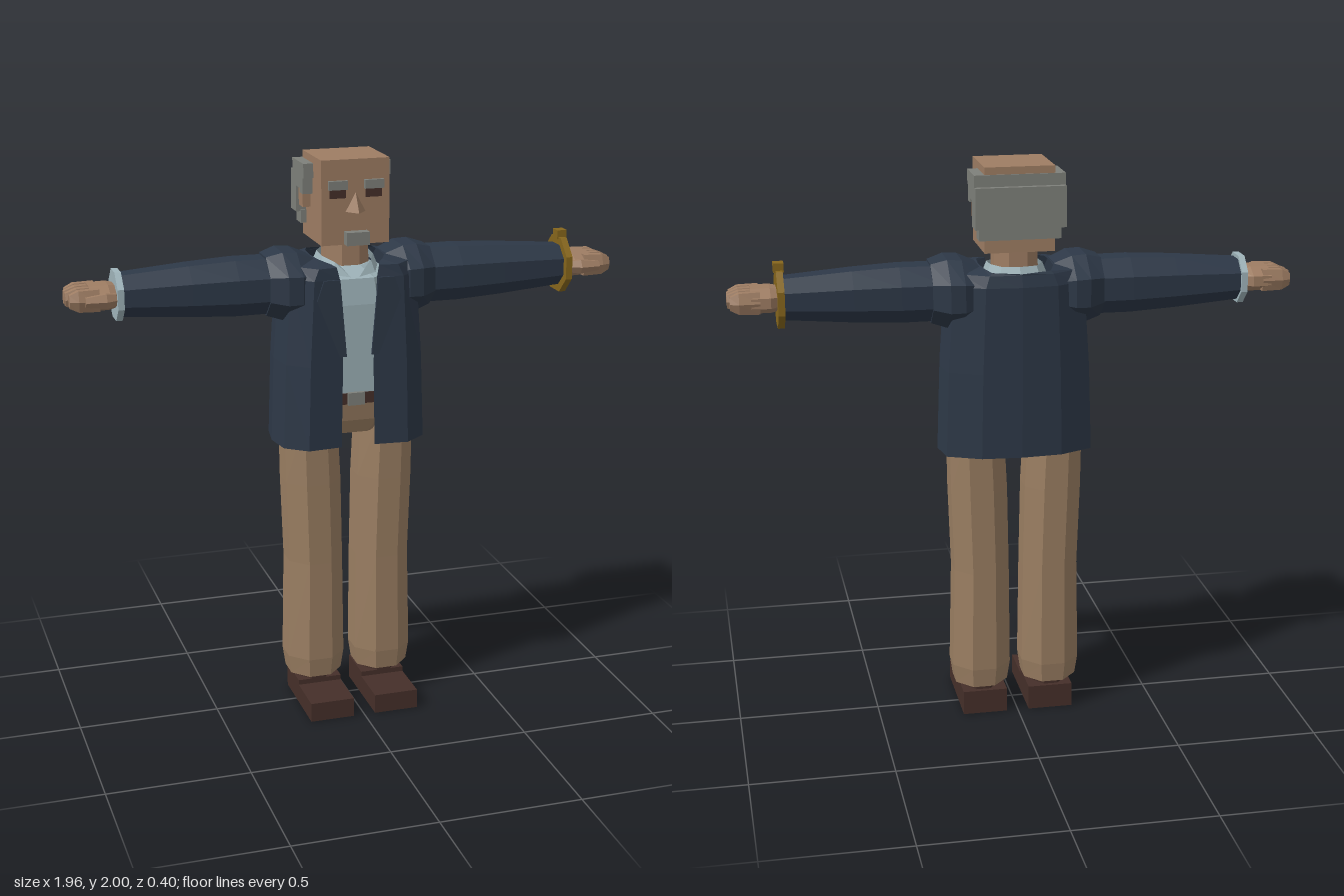
import * as THREE from 'three';

const mat = (name, color, extra = {}) => new THREE.MeshStandardMaterial({ name, color, ...extra });

// Faceted skin over a list of rings of [x, y, z] points
function loft(rings, closed = true) {
  const n = rings[0].length, pos = [];
  const tri = (...pts) => pts.forEach(p => pos.push(...p));
  for (let i = 0; i + 1 < rings.length; i++) {
    for (let j = 0; j < (closed ? n : n - 1); j++) {
      const k = (j + 1) % n;
      const a = rings[i][j], b = rings[i][k], c = rings[i + 1][k], d = rings[i + 1][j];
      tri(a, d, b);
      tri(b, d, c);
    }
  }
  if (closed) {
    const lo = rings[0], hi = rings[rings.length - 1];
    for (let j = 1; j + 1 < n; j++) {
      tri(lo[0], lo[j], lo[j + 1]);
      tri(hi[0], hi[j + 1], hi[j]);
    }
  }
  const g = new THREE.BufferGeometry();
  g.setAttribute('position', new THREE.Float32BufferAttribute(pos, 3));
  g.computeVertexNormals();
  return g;
}

// Flat-sided tube along y; rows are [y, half width x, half depth z, centre x, centre z]
function tube(rows, sides = 8) {
  const half = Math.PI / sides, fit = 1 / Math.cos(half);
  return loft(rows.map(([y, rx, rz, cx = 0, cz = 0]) => Array.from({ length: sides }, (_, j) => {
    const a = half * (2 * j + 1);
    return [cx + Math.cos(a) * rx * fit, y, cz + Math.sin(a) * rz * fit];
  })));
}

// Box from its lower and upper corners
function box(x0, x1, y0, y1, z0, z1) {
  return new THREE.BoxGeometry(x1 - x0, y1 - y0, z1 - z0)
    .translate((x0 + x1) / 2, (y0 + y1) / 2, (z0 + z1) / 2);
}

function plate(points, depth) {
  const shape = new THREE.Shape(points.map(p => new THREE.Vector2(...p)));
  return new THREE.ExtrudeGeometry(shape, { depth, bevelEnabled: false });
}

export function createModel() {
  const model = new THREE.Group();
  model.name = 'standingMan';
  const skin = mat('skin', 0x9e7d63);
  const trousers = mat('trousers', 0x9a7e62);
  const navy = mat('jacketNavy', 0x2d3847, { side: THREE.DoubleSide });
  const shirtBlue = mat('shirtBlue', 0x9fb4ba, { side: THREE.DoubleSide });
  const grey = mat('hairGrey', 0x7e807a);
  const brown = mat('leatherBrown', 0x452f29);
  const gold = mat('gold', 0x86661c);

  const add = (name, geometry, material, parent = model) => {
    const m = new THREE.Mesh(geometry, material);
    m.name = name;
    parent.add(m);
    return m;
  };
  // Mirrors a list of half-outline points across x
  const whole = half => [...half, ...half.slice(0, -1).reverse().map(([x, y, z]) => [-x, y, z])];

  // Head and neck
  add('skull', box(-0.12, 0.12, 1.71, 2, -0.145, 0.083), skin);
  add('neck', tube([[1.56, 0.078, 0.075, 0, -0.043], [1.72, 0.075, 0.072, 0, -0.043]]), skin);
  const nose = new THREE.ConeGeometry(0.5, 1, 4, 1).toNonIndexed();
  nose.scale(0.07, 0.065, 0.085).translate(0, 1.855, 0.083);
  // Pull the tip of the nose back to the face
  const np = nose.attributes.position;
  for (let i = 0; i < np.count; i++) if (np.getY(i) > 1.88) np.setZ(i, 0.085);
  nose.computeVertexNormals();
  add('nose', nose, skin);
  add('goatee', box(-0.04, 0.04, 1.712, 1.757, 0.08, 0.117), grey);

  // Hair at the back, wrapping the sides in steps
  add('backHair', box(-0.155, 0.155, 1.795, 1.935, -0.17, -0.13), grey);
  add('backHairTop', box(-0.145, 0.145, 1.92, 1.975, -0.15, -0.12), grey);
  add('backHairLow', box(-0.14, 0.14, 1.755, 1.81, -0.155, -0.12), grey);
  const sideOutline = [[0.012, 1.975], [0.15, 1.975], [0.15, 1.795], [0.105, 1.795],
    [0.105, 1.885], [0.062, 1.885], [0.062, 1.87], [0.022, 1.87], [0.022, 1.925], [0.012, 1.925]];
  for (const s of [1, -1]) {
    const side = add('sideHair', plate(sideOutline, 0.037), grey);
    side.rotation.y = Math.PI / 2;
    side.position.x = s > 0 ? 0.118 : -0.155;
    const b = (name, x0, x1, y0, y1, z0, z1, m) =>
      add(name, box(s > 0 ? x0 : -x1, s > 0 ? x1 : -x0, y0, y1, z0, z1), m);
    b('sideHairLow', 0.11, 0.14, 1.755, 1.8, -0.15, -0.1, grey);
    b('ear', 0.115, 0.147, 1.82, 1.92, -0.1, -0.05, skin);
    b('eyebrow', 0.03, 0.097, 1.9, 1.93, 0.08, 0.097, grey);
    b('eye', 0.035, 0.092, 1.87, 1.9, 0.08, 0.087, brown);
  }

  // Shirt, collar and belt
  add('shirt', tube([[1.17, 0.19, 0.115, 0, -0.03], [1.5, 0.19, 0.125, 0, -0.03],
    [1.59, 0.16, 0.12, 0, -0.035], [1.625, 0.075, 0.08, 0, -0.04]]), shirtBlue);
  const collar = [[0.015, 1.595, 0.082], [0.075, 1.605, 0.07], [0.105, 1.615, 0],
    [0.105, 1.62, -0.09], [0.07, 1.62, -0.15], [0, 1.62, -0.165]];
  add('collar', loft([whole(collar), whole(collar.map(([x, y, z], i) =>
    [i ? x * 0.86 : 0.05, y + 0.04, (z + 0.04) * 0.85 - 0.04]))], false), shirtBlue);
  add('belt', tube([[1.145, 0.2, 0.12, 0, -0.03], [1.185, 0.2, 0.12, 0, -0.03]]), brown);
  add('buckle', box(-0.03, 0.03, 1.143, 1.188, 0.08, 0.1), grey);
  add('hips', tube([[1.03, 0.13, 0.09, 0, -0.035], [1.08, 0.205, 0.108, 0, -0.035],
    [1.15, 0.2, 0.115, 0, -0.032]]), trousers);

  // Open jacket, half outline from the front edge round to the spine
  const hem = [[0.06, 0.118], [0.18, 0.128], [0.255, 0.07], [0.272, -0.035],
    [0.255, -0.14], [0.14, -0.19], [0, -0.2]];
  const row = (y, s, edge, zs = 1) => whole(hem.map(([x, z], i) => [i ? x * s : edge, y, z * zs]));
  const neckline = [[0.085, 1.645, 0.085], [0.1, 1.65, 0.07], [0.12, 1.655, 0.03],
    [0.125, 1.655, -0.04], [0.12, 1.655, -0.12], [0.1, 1.65, -0.175], [0, 1.645, -0.19]];
  add('jacket', loft([row(1, 1, 0.06), row(1.3, 0.96, 0.055), row(1.6, 0.88, 0.066),
    row(1.64, 0.78, 0.075, 0.95), whole(neckline)], false), navy);
  const lapel = [[0.045, 1.33], [0.07, 1.33], [0.15, 1.53], [0.125, 1.6], [0.068, 1.6]];
  for (const s of [1, -1]) {
    add('lapel', plate(lapel.map(([x, y]) => [s * x, y]), 0.009), navy).position.z = 0.122;
  }

  for (const s of [1, -1]) {
    // Trouser leg, sock and shoe
    const leg = new THREE.Group();
    leg.name = s > 0 ? 'leftLeg' : 'rightLeg';
    add('trouserLeg', tube([[0.11, 0.094, 0.098, s * 0.126, -0.033], [0.18, 0.104, 0.106, s * 0.126, -0.033],
      [0.55, 0.098, 0.104, s * 0.124, -0.035], [0.85, 0.1, 0.106, s * 0.132, -0.035],
      [1.1, 0.095, 0.107, s * 0.14, -0.036]]), trousers, leg);
    add('sock', tube([[0.07, 0.06, 0.07, s * 0.125, -0.035], [0.12, 0.06, 0.07, s * 0.125, -0.035]]), brown, leg);
    add('shoe', box(s * 0.12 - 0.08, s * 0.12 + 0.08, 0, 0.07, -0.12, 0.2), brown, leg);
    add('shoeHeel', box(s * 0.12 - 0.08, s * 0.12 + 0.08, 0.06, 0.088, -0.12, 0.035), brown, leg);
    model.add(leg);

    // Arm, built upright and laid out sideways
    const arm = new THREE.Group();
    arm.name = s > 0 ? 'leftArm' : 'rightArm';
    arm.position.set(0, 1.565, -0.037);
    arm.rotation.z = -s * Math.PI / 2;
    add('shoulder', tube([[0.13, 0.09, 0.12], [0.19, 0.115, 0.145], [0.24, 0.118, 0.142],
      [0.295, 0.102, 0.106]]), navy, arm);
    add('sleeve', tube([[0.25, 0.095, 0.102], [0.4, 0.096, 0.1], [0.56, 0.088, 0.09], [0.8, 0.07, 0.073]]), navy, arm);
    if (s > 0) {
      add('bracelet', tube([[0.79, 0.097, 0.097], [0.813, 0.097, 0.097]]), gold, arm);
      add('braceletKnob', box(-0.122, -0.09, 0.785, 0.82, -0.02, 0.02), gold, arm);
    } else {
      add('shirtCuff', tube([[0.79, 0.083, 0.083], [0.812, 0.083, 0.083]]), shirtBlue, arm);
    }
    add('palm', tube([[0.79, 0.035, 0.05], [0.835, 0.043, 0.08], [0.9, 0.042, 0.078]]), skin, arm);
    for (let f = 0; f < 4; f++) {
      const z = -0.057 + f * 0.038, tip = f % 3 ? 0.978 : 0.97;
      add('finger', tube([[0.87, 0.038, 0.021, 0, z], [0.94, 0.036, 0.021, 0, z],
        [tip, 0.022, 0.015, 0, z * 0.95]], 6), skin, arm);
    }
    add('thumb', tube([[0.815, 0.02, 0.02, 0, 0.065], [0.85, 0.025, 0.024, 0, 0.075],
      [0.92, 0.016, 0.016, 0, 0.08]], 6), skin, arm);
    model.add(arm);
  }
  return model;
}
